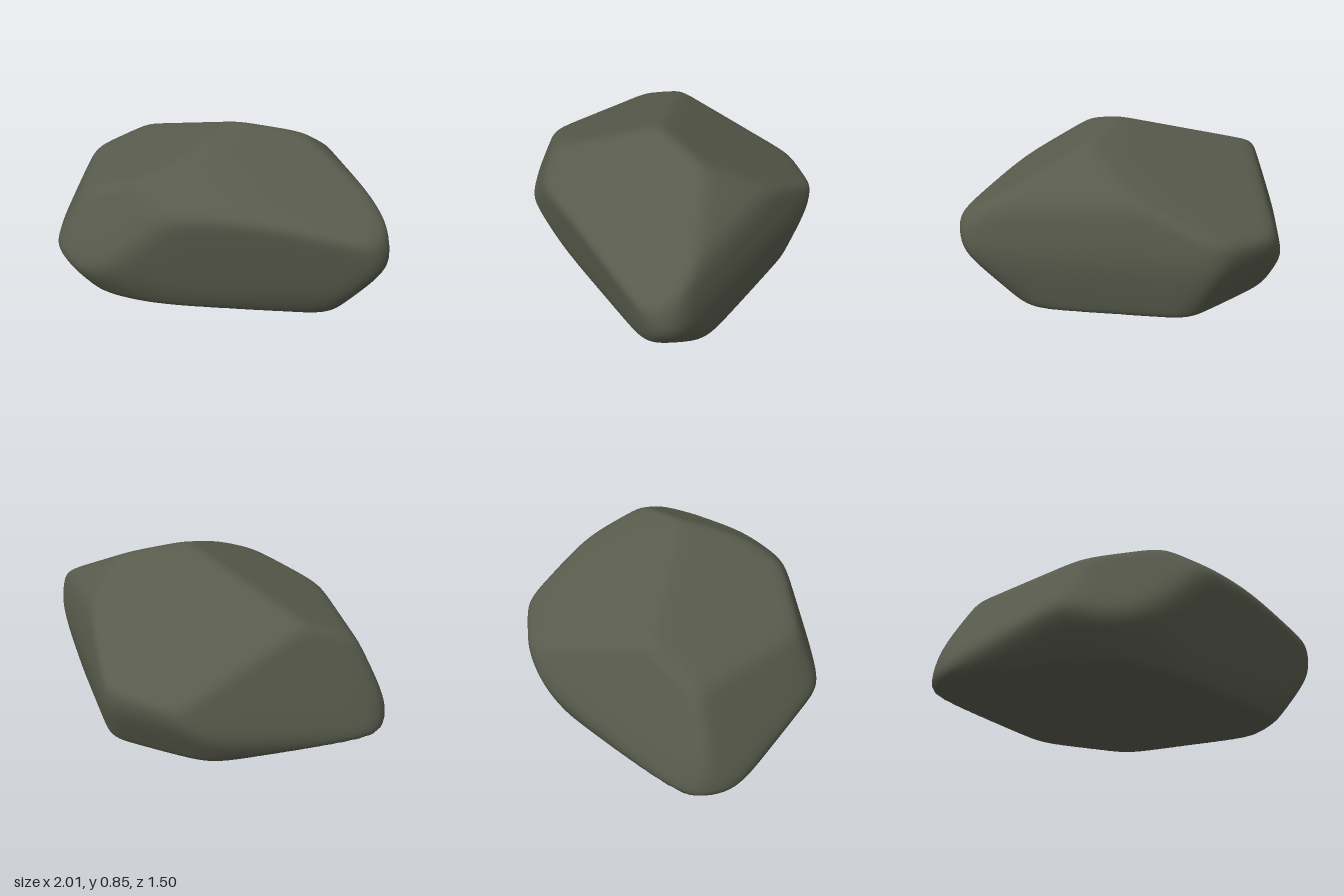
import * as THREE from 'three';
import { mergeVertices } from 'three/addons/utils/BufferGeometryUtils.js';

// Facets of the boulder: each is a plane nx*x + ny*y + nz*z = d
const FACETS = [
  [-0.11, 1, -0.53, 0.808],    // large top slope, falling to the back
  [-0.37, 1, 0.20, 0.834],     // top slope, falling to the front and -x
  [0.38, 1, 0.35, 0.957],      // top slope, falling to the front and +x
  [0.25, 1, 0.70, 1.09],       // front brow above the +x half
  [0.65, 1, -0.53, 1.14],      // top shoulder above the +x tip
  [-0.19, 0.42, 1, 0.908],     // upper front
  [0.42, -0.20, 1, 0.628],     // overhanging front toward the +x tip
  [0.10, -0.60, 1, 0.615],     // front undercut
  [0.42, -0.70, 0.90, 0.54],   // front undercut toward the +x tip
  [-0.60, -0.80, 0.80, 0.73],  // front undercut toward -x
  [0.73, 0.20, -0.68, 0.733],  // upper back toward the +x tip
  [0.73, -0.20, -0.68, 0.60],  // lower back toward the +x tip
  [1, -0.80, 0.10, 0.78],      // undercut of the +x tip
  [1, 0.25, 0.15, 1.14],       // blunt end of the +x tip
  [-0.73, 0.34, -0.69, 0.79],  // back toward -x
  [-0.60, -0.50, -0.80, 0.665], // back undercut toward -x
  [-0.83, 0.50, 0.50, 0.96],   // front toward -x
  [-1, 0, 0, 1.015],           // blunt end of the -x tip
  [0, -0.50, -1, 0.61],        // back undercut
  [0, 0.15, -1, 0.818],        // back end
  [0, -1, 0, 0],               // flat base
];
const CENTRE = new THREE.Vector3(0, 0.38, 0);
const SHARPNESS = 27;

// Distance from the centre to the softly rounded intersection of all facets
function radius(dir) {
  let sum = 0;
  for (const [x, y, z, d] of FACETS) {
    const n = new THREE.Vector3(x, y, z);
    const g = n.dot(dir) / (d - n.dot(CENTRE));
    if (g > 0) sum += Math.pow(g, SHARPNESS);
  }
  return Math.pow(sum, -1 / SHARPNESS);
}

export function createModel() {
  let geometry = new THREE.IcosahedronGeometry(1, 48);
  geometry.deleteAttribute('normal');
  geometry.deleteAttribute('uv');
  geometry = mergeVertices(geometry, 1e-5);

  // Push every point of the sphere out to the facets
  const pos = geometry.attributes.position;
  const v = new THREE.Vector3();
  for (let i = 0; i < pos.count; i++) {
    v.fromBufferAttribute(pos, i).normalize();
    v.multiplyScalar(radius(v)).add(CENTRE);
    pos.setXYZ(i, v.x, v.y, v.z);
  }
  geometry.computeVertexNormals();

  const stone = new THREE.MeshStandardMaterial({ color: 0x585b4c });
  stone.name = 'mossy grey stone';
  const boulder = new THREE.Mesh(geometry, stone);
  boulder.name = 'boulder';

  const group = new THREE.Group();
  group.name = 'rock';
  group.add(boulder);
  return group;
}
